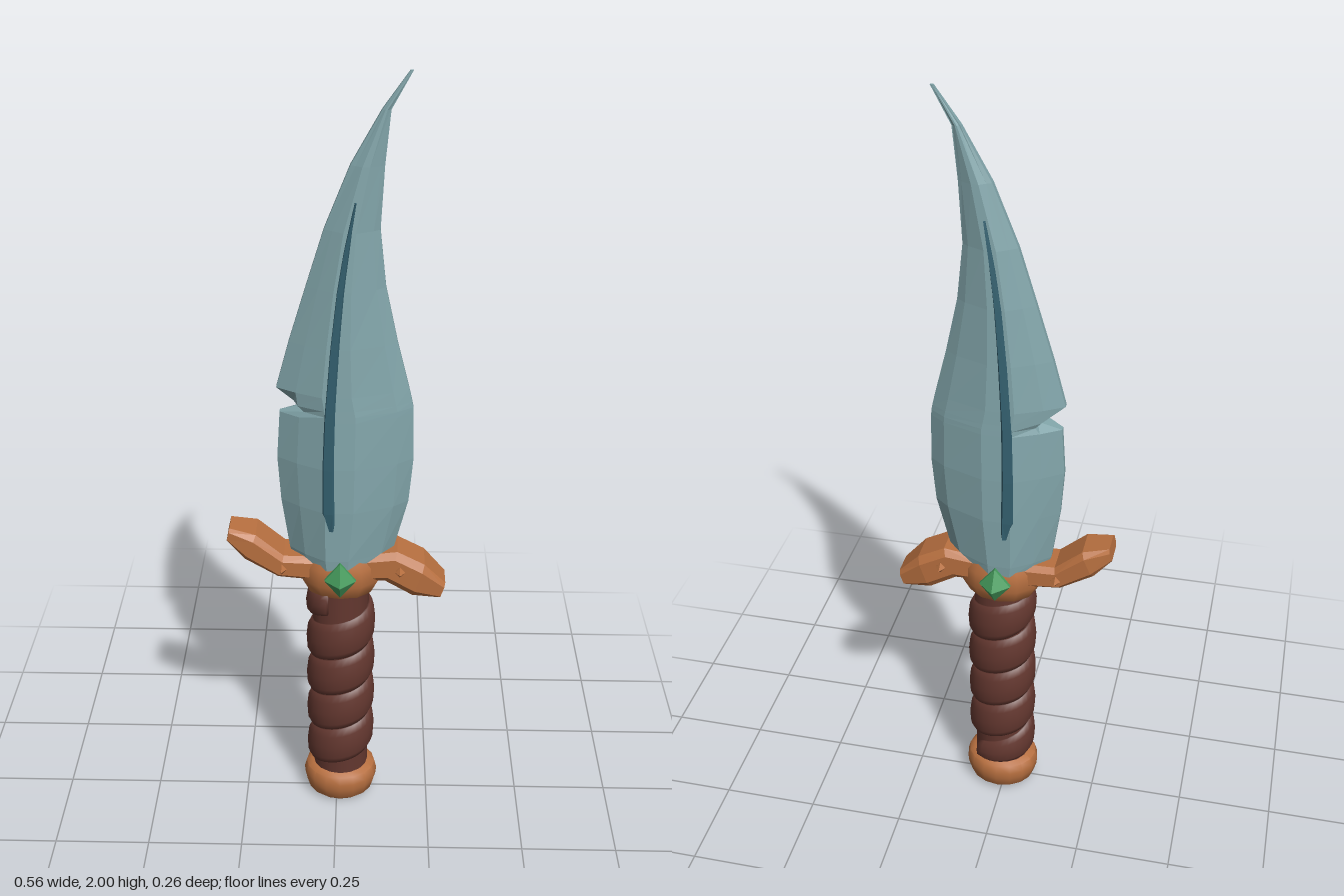
import * as THREE from 'three';
import { toCreasedNormals } from 'three/addons/utils/BufferGeometryUtils.js';

const material = (name, color) => {
  const m = new THREE.MeshStandardMaterial({ color });
  m.name = name;
  return m;
};

// Closed solid through rings of [x, y, z] points, capped at both ends.
function loft(rings, smooth = false) {
  const n = rings[0].length, last = rings.length - 1;
  const pos = rings.flat();
  const tris = [];
  for (let i = 0; i < last; i++) {
    for (let j = 0; j < n; j++) {
      const a = i * n + j, b = i * n + (j + 1) % n;
      tris.push([a, b, b + n], [a, b + n, a + n]);
    }
  }
  for (const [row, flip] of [[0, true], [last, false]]) {
    const c = pos.length;
    pos.push([0, 1, 2].map(k => rings[row].reduce((s, p) => s + p[k], 0) / n));
    for (let j = 0; j < n; j++) {
      const a = row * n + j, b = row * n + (j + 1) % n;
      tris.push(flip ? [c, b, a] : [c, a, b]);
    }
  }
  // Turn the faces outward when the solid's signed volume is negative
  const v = pos.map(p => new THREE.Vector3(...p));
  const volume = tris.reduce((s, [a, b, c]) => s + v[a].dot(v[b].clone().cross(v[c])), 0);
  if (volume < 0) tris.forEach(t => t.reverse());
  let g = new THREE.BufferGeometry();
  g.setAttribute('position', new THREE.Float32BufferAttribute(pos.flat(), 3));
  g.setIndex(tris.flat());
  if (!smooth) g = g.toNonIndexed();
  g.computeVertexNormals();
  return g;
}

export function createModel() {
  const group = new THREE.Group();
  const steel = material('blade steel', 0x82a5aa);
  const darkSteel = material('dark steel', 0x335f6e);
  const bronze = material('bronze', 0xb87040);
  const leather = material('leather', 0x63372f);
  const green = material('green gem', 0x459a5c);
  const add = (name, geometry, mat) => {
    const mesh = new THREE.Mesh(geometry, mat);
    mesh.name = name;
    group.add(mesh);
    return mesh;
  };
  const cx = 0.01; // axis of the handle

  // Blade rows: y, back edge, cutting edge, half thickness, optional notch depth
  const rows = [
    [0.76, -0.11, 0.135, 0.078], [0.79, -0.12, 0.145, 0.08], [0.93, -0.14, 0.18, 0.081],
    [1.05, -0.148, 0.19, 0.078], [1.175, -0.14, 0.187, 0.071], [1.19, -0.14, 0.186, 0.07, -0.08],
    [1.205, -0.143, 0.183, 0.069, -0.105], [1.24, -0.147, 0.175, 0.067], [1.36, -0.115, 0.145, 0.059],
    [1.5, -0.073, 0.115, 0.049], [1.64, -0.03, 0.1, 0.037], [1.79, 0.03, 0.108, 0.024],
    [1.915, 0.1, 0.12, 0.011], [2, 0.16, 0.167, 0.003]
  ];
  const profile = [[0, 0.08], [0.15, 0.55], [0.35, 1], [0.57, 1], [0.88, 0.5], [1, 0.1]];
  add('blade', loft(rows.map(([y, l, r, t, notch = -1]) => {
    const side = profile.map(([u, w]) => [
      Math.max(l + (r - l) * u, notch), y, Math.max(w * t, Math.min(t, 0.007))
    ]);
    return [...side, ...side.map(([x, yy, z]) => [x, yy, -z]).reverse()];
  })), steel);

  // Raised dark ridge on both faces: y, x, half width, blade half thickness
  const ridge = [
    [0.88, -0.012, 0.008, 0.08], [0.93, -0.017, 0.02, 0.081], [1.05, -0.018, 0.019, 0.078],
    [1.2, -0.014, 0.017, 0.07], [1.36, -0.003, 0.015, 0.059], [1.5, 0.01, 0.012, 0.049],
    [1.6, 0.024, 0.009, 0.041], [1.71, 0.043, 0.003, 0.031]
  ];
  for (const s of [1, -1]) {
    add(s > 0 ? 'frontRidge' : 'backRidge', loft(ridge.map(([y, x, w, t]) => [
      [x - w, y, s * (t - 0.009)], [x - w * 0.7, y, s * (t + 0.003)],
      [x + w * 0.4, y, s * (t + 0.006)], [x + w, y, s * (t - 0.009)]
    ])), darkSteel);
  }

  // Pommel, grip core and collar turned on the handle axis
  const turned = (name, points, sides, depth, mat) => {
    const g = new THREE.LatheGeometry(points.map(p => new THREE.Vector2(...p)), sides);
    g.scale(1, 1, depth);
    g.translate(cx, 0, 0);
    return add(name, toCreasedNormals(g, 0.75), mat);
  };
  turned('pommel', [[0, 0], [0.075, 0.002], [0.089, 0.015], [0.098, 0.045], [0.1, 0.065],
    [0.094, 0.088], [0.08, 0.098], [0, 0.098]], 16, 0.87, bronze);
  turned('gripCore', [[0.074, 0.08], [0.074, 0.68]], 16, 0.95, leather);
  turned('collar', [[0, 0.652], [0.07, 0.655], [0.09, 0.672], [0.11, 0.71], [0.108, 0.755],
    [0.092, 0.787], [0, 0.79]], 12, 0.79, bronze);

  // Leather strap wound up the grip
  const strap = [];
  const turns = 4.55, steps = 130, pitch = 0.115;
  const section = [[0.066, -0.052], [0.08, -0.055], [0.089, -0.035], [0.091, 0],
    [0.087, 0.035], [0.078, 0.055], [0.066, 0.052]];
  for (let i = 0; i <= steps; i++) {
    const k = i / steps * turns, a = 2.4 + k * Math.PI * 2;
    const size = Math.min(1, 0.55 + Math.min(i, steps - i) * 0.04);
    strap.push(section.map(([r, h]) => [
      cx + r * Math.sin(a), 0.125 + k * pitch + h * size, r * 0.94 * Math.cos(a)
    ]));
  }
  add('gripWrap', loft(strap, true), leather);

  // Guard arms: top x, top y, bottom x, bottom y, half depth
  const arms = {
    rightGuard: [[-0.05, 0.78, -0.05, 0.71, 0.055], [-0.135, 0.782, -0.15, 0.72, 0.055],
      [-0.205, 0.842, -0.235, 0.772, 0.055], [-0.272, 0.855, -0.28, 0.82, 0.042]],
    leftGuard: [[0.06, 0.785, 0.06, 0.71, 0.055], [0.155, 0.797, 0.125, 0.71, 0.055],
      [0.225, 0.76, 0.195, 0.668, 0.055], [0.28, 0.7, 0.265, 0.655, 0.042]]
  };
  for (const [name, stations] of Object.entries(arms)) {
    add(name, loft(stations.map(([tx, ty, bx, by, d]) => {
      const at = (u, z) => [tx + (bx - tx) * u, ty + (by - ty) * u, z];
      const half = [at(0, d * 0.74), at(0.2, d), at(0.8, d), at(1, d * 0.74)];
      return [...half, ...half.map(([x, y, z]) => [x, y, -z]).reverse()];
    })), bronze);
  }

  // Pointed diamonds facing out of both sides: gems and guard studs
  const diamond = (name, x, y, w, h, layers, mat) => {
    for (const s of [1, -1]) {
      add(name, loft(layers.map(([z, k]) => [
        [x - w * k, y, s * z], [x, y - h * k, s * z], [x + w * k, y, s * z], [x, y + h * k, s * z]
      ])), mat);
    }
  };
  diamond('gem', cx, 0.74, 0.04, 0.05, [[0.07, 0.7], [0.084, 1], [0.093, 1], [0.13, 0.01]], green);
  diamond('stud', -0.14, 0.75, 0.013, 0.015, [[0.05, 1], [0.056, 1], [0.075, 0.01]], bronze);
  diamond('stud', 0.162, 0.745, 0.013, 0.015, [[0.05, 1], [0.056, 1], [0.075, 0.01]], bronze);

  return group;
}
